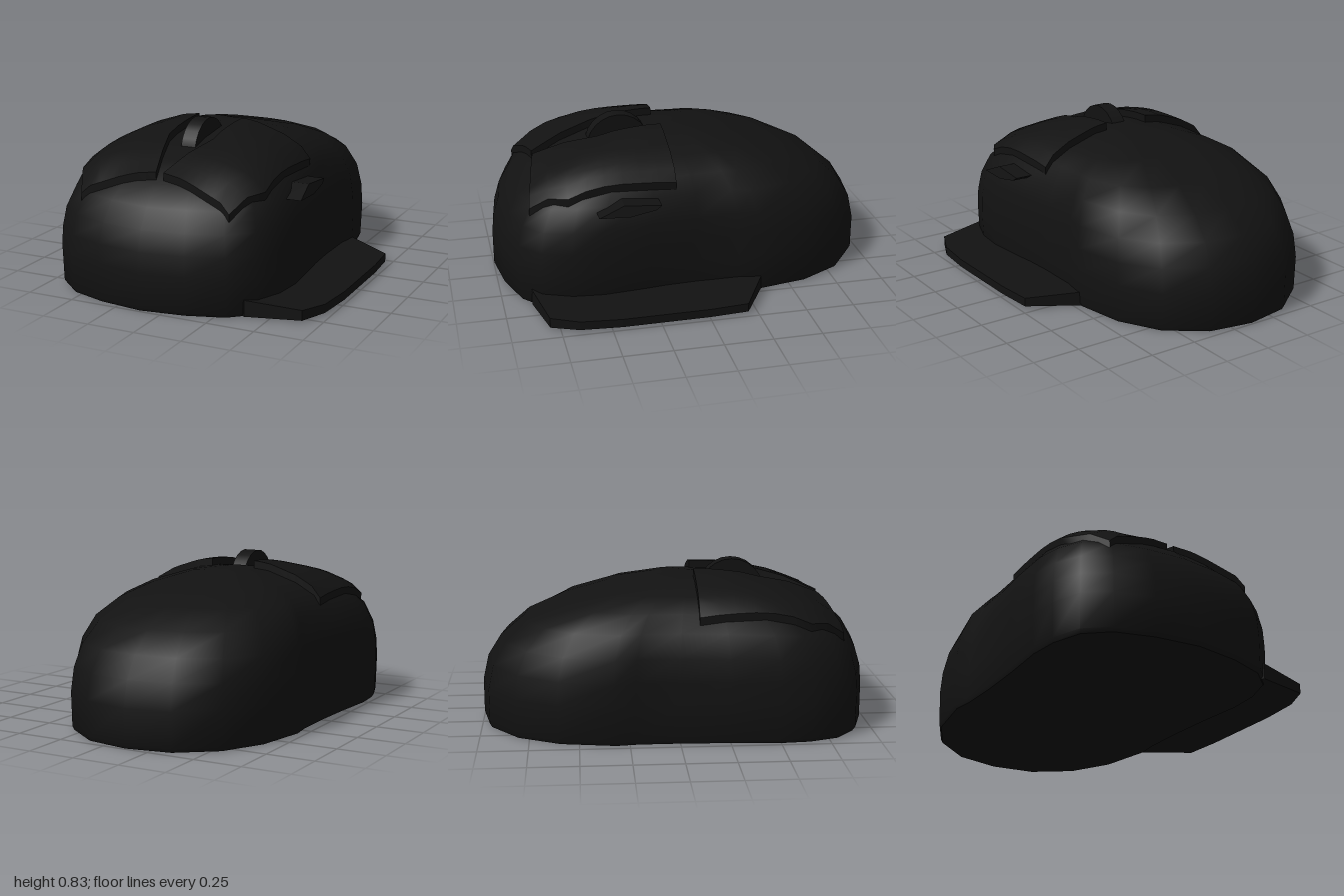
import * as THREE from 'three';
import { toCreasedNormals } from 'three/addons/utils/BufferGeometryUtils.js';

const CX = -0.12; // centre line of the shell
const APEX_Z = 0.1; // highest point of the shell

// half outline of the shell: [half width, z], back to front
const OUTLINE = [[0, -1], [0.235, -0.96], [0.43, -0.82], [0.55, -0.61], [0.605, -0.33], [0.592, -0.22], [0.592, 0],
  [0.602, 0.25], [0.62, 0.5], [0.605, 0.66], [0.55, 0.81], [0.43, 0.91], [0.235, 0.97], [0, 1]];

// shell profiles: [radius factor, height], base to top
const FRONT = [[0.985, 0], [1, 0.02], [1, 0.2], [0.99, 0.3], [0.955, 0.4], [0.89, 0.5], [0.78, 0.59], [0.58, 0.67], [0.29, 0.735], [0, 0.77]];
const BACK = [[0.99, 0], [1, 0.02], [1, 0.2], [0.973, 0.33], [0.91, 0.44], [0.8, 0.54], [0.62, 0.63], [0.38, 0.71], [0.14, 0.758], [0, 0.77]];
const SIDE = [[0.97, 0], [0.985, 0.02], [1, 0.2], [1, 0.31], [0.985, 0.43], [0.92, 0.55], [0.8, 0.635], [0.62, 0.695], [0.35, 0.748], [0, 0.77]];

function indexed(pos, idx) {
  const g = new THREE.BufferGeometry();
  g.setAttribute('position', new THREE.Float32BufferAttribute(pos, 3));
  g.setIndex(idx);
  return g;
}

// stacked rings, each blended between the end and side profiles
function shellGeometry() {
  const ring = [...OUTLINE, ...OUTLINE.slice(1, -1).reverse().map(([x, z]) => [-x, z])];
  const n = ring.length, pos = [], idx = [];
  for (let k = 0; k < SIDE.length; k++) {
    for (const [x, z] of ring) {
      const dz = z - APEX_Z;
      const end = dz > 0 ? FRONT[k] : BACK[k];
      const c = Math.min(1, Math.abs(dz) / (dz > 0 ? 0.9 : 1.1));
      const w = c * c;
      const r = end[0] * w + SIDE[k][0] * (1 - w);
      const y = end[1] * w + SIDE[k][1] * (1 - w);
      // finger grips: a shallow hollow along both flanks
      const grip = k > 1 && k < 6 ? 0.035 * Math.exp(-(((z + 0.08) / 0.2) ** 2)) : 0;
      pos.push(CX + x * r * (1 - grip), y, APEX_Z + dz * r);
    }
  }
  for (let k = 0; k < SIDE.length - 1; k++) {
    for (let i = 0; i < n; i++) {
      const a = k * n + i, b = k * n + (i + 1) % n;
      idx.push(a, a + n, b);
      if (k < SIDE.length - 2) idx.push(b, a + n, b + n);
    }
  }
  // flat underside
  const centre = pos.length / 3;
  pos.push(CX, 0, 0);
  for (let i = 0; i < n; i++) idx.push(centre, i, (i + 1) % n);
  return toCreasedNormals(indexed(pos, idx), 0.75);
}

// button pad draped over the shell; side is +1 or -1
function padGeometry(side, heightAt) {
  const N = 8, pos = [], idx = [], row = N + 1, layer = row * row;
  for (const lift of [0.04, -0.025]) {
    for (let j = 0; j <= N; j++) {
      const v = j / N;
      const inner = v < 0.5 ? 0.127 : THREE.MathUtils.lerp(0.127, 0.02, (v - 0.5) * 2);
      const outer = v < 0.75 ? 0.515 : THREE.MathUtils.lerp(0.515, 0.41, (v - 0.75) * 4);
      for (let i = 0; i <= N; i++) {
        const u = i / N;
        const x = CX + 0.005 + side * THREE.MathUtils.lerp(inner, outer, u);
        const z = APEX_Z + v * THREE.MathUtils.lerp(0.67, 0.74, u);
        pos.push(x, heightAt(x, z) + lift, z);
      }
    }
  }
  const quad = (a, b, c, d) => (side > 0 ? idx.push(a, b, c, a, c, d) : idx.push(a, c, b, a, d, c));
  for (let j = 0; j < N; j++) {
    for (let i = 0; i < N; i++) {
      const a = j * row + i, L = layer;
      quad(a, a + row, a + row + 1, a + 1);
      quad(a + L, a + L + 1, a + L + row + 1, a + L + row);
    }
    // rims along the four edges
    const f = N * row + j, l = j * row, r = l + N;
    quad(j, j + 1, j + 1 + layer, j + layer);
    quad(f + 1, f, f + layer, f + 1 + layer);
    quad(l + row, l, l + layer, l + row + layer);
    quad(r, r + row, r + row + layer, r + layer);
  }
  return toCreasedNormals(indexed(pos, idx), 0.6);
}

// thumb rest: flat plate, thicker where it meets the shell
function thumbRestGeometry() {
  const pts = [[0.35, -0.34], [0.47, -0.34], [0.72, -0.2], [0.735, 0], [0.738, 0.45], [0.72, 0.66], [0.66, 0.8], [0.38, 0.855], [0.3, 0.8]];
  const g = new THREE.ExtrudeGeometry(new THREE.Shape(pts.map(([x, z]) => new THREE.Vector2(x, -z))), { depth: 1, bevelEnabled: false });
  g.rotateX(-Math.PI / 2);
  const p = g.attributes.position;
  for (let i = 0; i < p.count; i++) {
    const t = THREE.MathUtils.clamp((p.getX(i) - 0.35) / 0.385, 0, 1);
    p.setY(i, p.getY(i) > 0.5 ? 0.09 - 0.035 * t : 0.003 + 0.009 * t);
  }
  g.computeVertexNormals();
  return g;
}

// thumb button: pointed sliver pushed out of the flank
function thumbButtonGeometry() {
  const pts = [[0.52, 0.512], [0.39, 0.565], [0.2, 0.55], [0.23, 0.53], [0.36, 0.507]];
  const g = new THREE.ExtrudeGeometry(new THREE.Shape(pts.map(([z, y]) => new THREE.Vector2(-z, y))), { depth: 0.12, bevelEnabled: false });
  g.rotateY(Math.PI / 2);
  g.translate(0.41, 0, 0);
  const p = g.attributes.position;
  for (let i = 0; i < p.count; i++) p.setX(i, p.getX(i) - (p.getY(i) - 0.507) * 0.25);
  g.computeVertexNormals();
  return g;
}

export function createModel() {
  const model = new THREE.Group();
  model.name = 'computerMouse';
  const black = new THREE.MeshStandardMaterial({ color: 0x121212 });
  const add = (name, geometry) => {
    const mesh = new THREE.Mesh(geometry, black);
    mesh.name = name;
    model.add(mesh);
    return mesh;
  };

  const shell = add('shell', shellGeometry());
  const ray = new THREE.Raycaster();
  const down = new THREE.Vector3(0, -1, 0);
  const heightAt = (x, z) => {
    ray.set(new THREE.Vector3(x, 2, z), down);
    const hit = ray.intersectObject(shell)[0];
    return hit ? hit.point.y : 0.45;
  };

  add('leftButton', padGeometry(1, heightAt));
  add('rightButton', padGeometry(-1, heightAt));

  // scroll wheel
  const wheel = add('scrollWheel', new THREE.CylinderGeometry(0.17, 0.17, 0.08, 24));
  wheel.rotation.z = Math.PI / 2;
  wheel.position.set(CX + 0.005, 0.66, 0.31);

  add('thumbRest', thumbRestGeometry());
  add('thumbButton', thumbButtonGeometry());
  return model;
}
